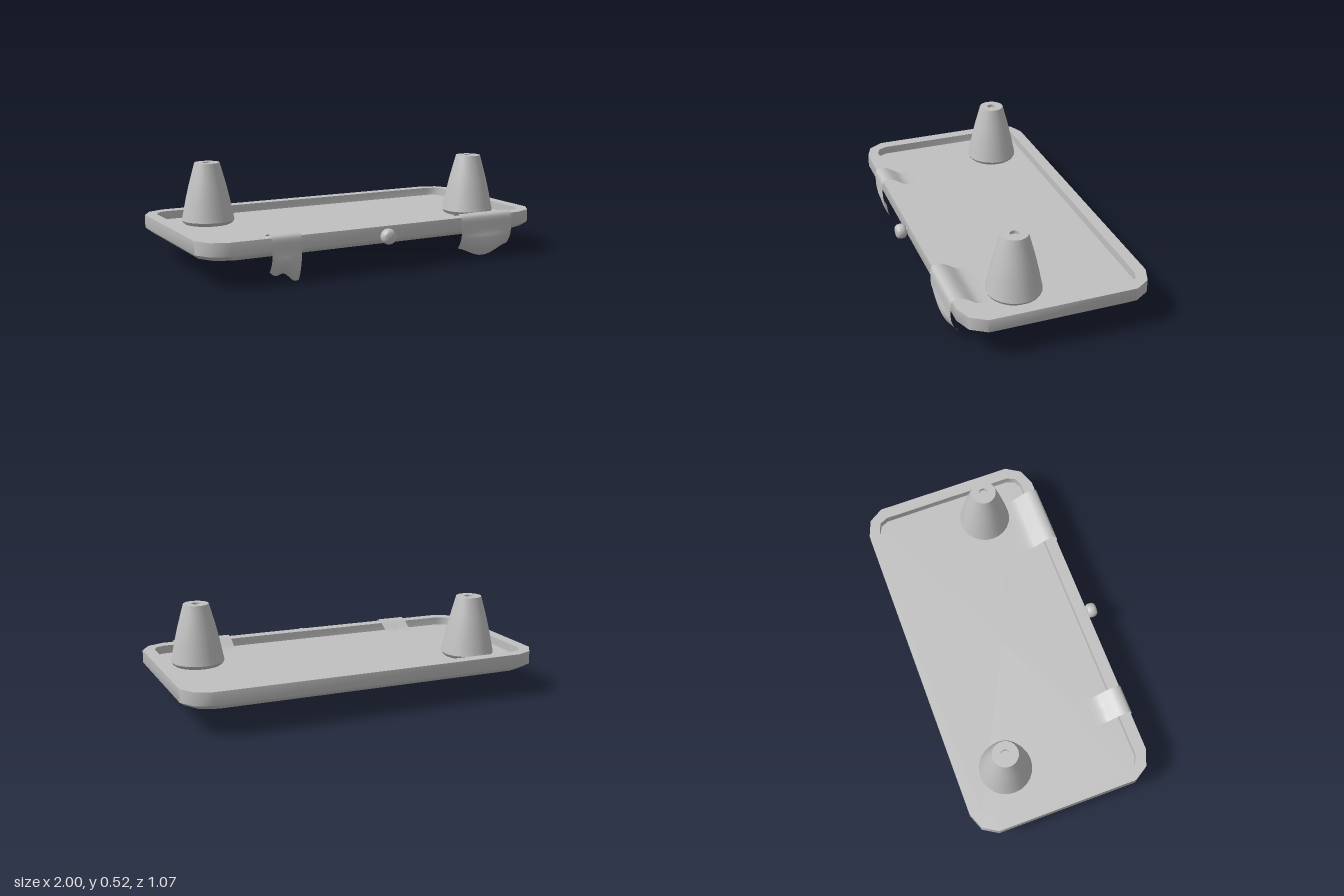
import * as THREE from 'three';
import { toCreasedNormals } from 'three/addons/utils/BufferGeometryUtils.js';

const grey = new THREE.MeshStandardMaterial({ color: 0xc0c0c0, side: THREE.DoubleSide });
grey.name = 'plain grey';

function addMesh(parent, name, geometry) {
  const mesh = new THREE.Mesh(geometry, grey);
  mesh.name = name;
  parent.add(mesh);
  return mesh;
}

// Rectangle with three-point corners; c lists corner offsets from the sharp corner
function ring(inset, y, c) {
  const hx = 1 - inset, hz = 0.5035 - inset, zc = -0.0315, pts = [];
  for (const [sx, sz] of [[1, 1], [-1, 1], [-1, -1], [1, -1]]) {
    const quad = c.map(([dx, dz]) => new THREE.Vector3(sx * (hx - dx), y, zc + sz * (hz - dz)));
    pts.push(...(sx * sz > 0 ? quad : quad.reverse()));
  }
  return pts;
}

// Shallow tray: stacked rings from the underside, over the rim, into the recess
function trayGeometry() {
  const outer = [[0, 0.115], [0.05, 0.035], [0.14, 0]];
  const inner = [[0, 0.065], [0.02, 0.02], [0.065, 0]];
  const centre = (y) => Array.from({ length: 12 }, () => new THREE.Vector3(0, y, -0.0315));
  const rings = [
    centre(0.14), ring(0.032, 0.14, outer), ring(0, 0.167, outer), ring(0, 0.237, outer),
    ring(0.065, 0.237, inner), ring(0.065, 0.192, inner), centre(0.192),
  ];
  const pos = [];
  const tri = (...v) => v.forEach((p) => pos.push(p.x, p.y, p.z));
  for (let k = 0; k < rings.length - 1; k++) {
    const a = rings[k], b = rings[k + 1];
    for (let i = 0; i < a.length; i++) {
      const j = (i + 1) % a.length;
      if (k > 0) tri(a[i], b[i], a[j]);
      if (k < rings.length - 2) tri(a[j], b[i], b[j]);
    }
  }
  const g = new THREE.BufferGeometry();
  g.setAttribute('position', new THREE.Float32BufferAttribute(pos, 3));
  return toCreasedNormals(g, 0.95);
}

function lathe(profile, sides) {
  const pts = profile.map(([r, y]) => new THREE.Vector2(r, y));
  return toCreasedNormals(new THREE.LatheGeometry(pts, sides), 0.7);
}

// Cloth strip draped over the rim; hem(u) gives the height of its lower edge
function drapeGeometry(x0, x1, hem, ripple) {
  const path = new THREE.CatmullRomCurve3([
    [0.28, 0.197], [0.34, 0.202], [0.385, 0.228], [0.42, 0.246], [0.45, 0.25],
    [0.473, 0.242], [0.482, 0.22], [0.482, 0.15],
  ].map(([z, y]) => new THREE.Vector3(0, y, z)));
  const nx = 16, top = 18, drop = 8;
  const g = new THREE.PlaneGeometry(1, 1, nx, top + drop);
  const p = g.attributes.position;
  for (let r = 0; r <= top + drop; r++) {
    for (let i = 0; i <= nx; i++) {
      const u = i / nx, x = x0 + (x1 - x0) * u;
      let y, z;
      if (r <= top) {
        ({ y, z } = path.getPoint(r / top));
        z += 0.006 * Math.cos(u * Math.PI * 4) * Math.max(0, 1 - r / 4);
      } else {
        const t = (r - top) / drop;
        y = 0.15 + (hem(u) - 0.15) * t;
        z = 0.482 - 0.037 * t * t + ripple * Math.sin(u * Math.PI) * t * (1 - t);
      }
      p.setXYZ(r * (nx + 1) + i, x, y, z);
    }
  }
  g.computeVertexNormals();
  return g;
}

export function createModel() {
  const model = new THREE.Group();
  model.name = 'tray';
  addMesh(model, 'trayBody', trayGeometry());

  // Tapered posts with a small dimple in the top
  const post = lathe([
    [0.125, 0.19], [0.136, 0.198], [0.144, 0.212], [0.138, 0.24], [0.122, 0.32],
    [0.102, 0.405], [0.069, 0.525], [0.024, 0.525], [0.024, 0.508], [0, 0.508],
  ], 24);
  addMesh(model, 'leftPost', post).position.set(0.75, 0, 0.135);
  addMesh(model, 'rightPost', post).position.set(-0.69, 0, -0.27);

  // Rounded front knob on a short stem
  const knob = addMesh(model, 'frontKnob', lathe([
    [0.016, 0.46], [0.016, 0.481], [0.03, 0.481], [0.038, 0.488], [0.041, 0.498],
    [0.041, 0.515], [0.037, 0.527], [0.028, 0.534], [0, 0.535],
  ], 20));
  knob.rotation.x = Math.PI / 2;
  knob.position.y = 0.188;

  // Draped cloths over the front rim
  addMesh(model, 'leftCloth', drapeGeometry(0.475, 0.805,
    (u) => 0.062 - 0.052 * Math.sin(u * Math.PI) ** 1.5, 0.05));
  addMesh(model, 'rightCloth', drapeGeometry(-0.645, -0.485,
    (u) => 0.06 - 0.055 * u + 0.012 * Math.sin(u * Math.PI * 3 + Math.PI), 0.03));
  return model;
}
